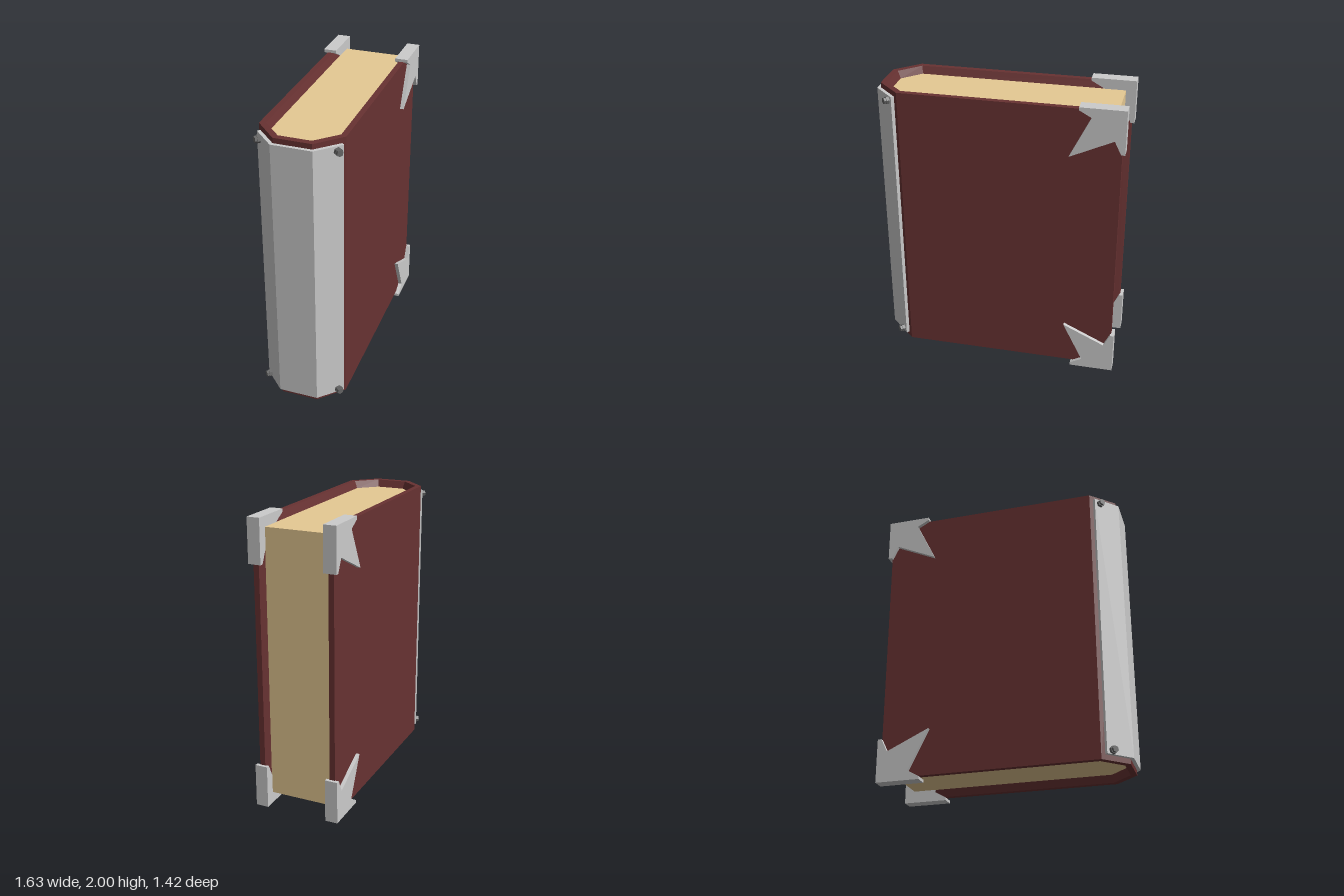
import * as THREE from 'three';

const material = (color) => new THREE.MeshStandardMaterial({ color, flatShading: true });
const grey = material(0xcccccc);
const leather = material(0x683232);
const paper = material(0xe6c993);
const iron = material(0x666666);

function add(parent, name, geometry, mat) {
  const mesh = new THREE.Mesh(geometry, mat);
  mesh.name = name;
  parent.add(mesh);
  return mesh;
}

// Mirror a half outline [x, z] (back side, fore-edge to spine) onto the front side
const mirrored = (half) => [...half, ...half.map(([x, z]) => [x, -z]).reverse()];

// Upright prism from a plan outline [x, z]
function prism(outline, y0, y1) {
  const shape = new THREE.Shape(outline.map(([x, z]) => new THREE.Vector2(x, -z)));
  const geo = new THREE.ExtrudeGeometry(shape, { depth: y1 - y0, bevelEnabled: false });
  return geo.rotateX(-Math.PI / 2).translate(0, y0, 0);
}

// Nested plan outlines: cover outside, inner edge of the rim, page block
const outer = mirrored([[0.76, -0.278], [-0.722, -0.278], [-0.88, -0.124]]);
const rim = mirrored([[0.76, -0.24], [-0.706, -0.24], [-0.84, -0.107]]);
const pages = mirrored([[0.711, -0.219], [-0.699, -0.219], [-0.819, -0.098]]);

// Folded cover: a bevelled rim section swept around the spine
function coverGeometry() {
  const sections = outer.map((o, i) => [
    [o, 0.03], [o, 1.98], [rim[i], 1.98], [pages[i], 1.93], [pages[i], 0.08], [rim[i], 0.03],
  ].map(([[x, z], y]) => [x, y, z]));
  const positions = [];
  const quad = (a, b, c, d) => positions.push(...a, ...b, ...c, ...a, ...c, ...d);
  for (let i = 0; i < sections.length - 1; i++) {
    const p = sections[i], q = sections[i + 1];
    for (const [a, b] of [[0, 1], [1, 2], [2, 3], [4, 5], [5, 0]]) quad(p[a], q[a], q[b], p[b]);
  }
  const first = sections[0], last = sections[sections.length - 1];
  for (const ids of [[0, 1, 2, 5], [5, 2, 3, 4]]) {
    quad(...ids.map((k) => first[k]));
    quad(...ids.map((k) => last[k]).reverse());
  }
  const geo = new THREE.BufferGeometry();
  geo.setAttribute('position', new THREE.Float32BufferAttribute(positions, 3));
  geo.computeVertexNormals();
  return geo;
}

// Pointed corner guard, extruded through the cover; flip puts it at the bottom
function cornerGeometry(flip) {
  const profile = [
    [0.478, 2], [0.478, 1.98], [0.56, 1.935], [0.422, 1.655],
    [0.711, 1.79], [0.755, 1.7], [0.781, 1.7], [0.781, 2],
  ];
  const shape = new THREE.Shape(profile.map(([x, y]) => new THREE.Vector2(x, flip ? 2 - y : y)));
  return new THREE.ExtrudeGeometry(shape, { depth: 0.088, bevelEnabled: false });
}

export function createModel() {
  const model = new THREE.Group();
  model.name = 'book';
  const book = new THREE.Group();
  book.name = 'turnedBook';
  book.rotation.y = THREE.MathUtils.degToRad(36.6);
  model.add(book);

  add(book, 'cover', coverGeometry(), leather);
  add(book, 'pages', prism(pages, 0.08, 1.93), paper);

  // Metal plate folded around the spine
  const plate = [
    ...mirrored([[-0.76, -0.277], [-0.903, -0.134]]),
    ...mirrored([[-0.744, -0.26], [-0.88, -0.124]]).reverse(),
  ];
  add(book, 'spinePlate', prism(plate, 0.065, 1.945), grey);

  for (const side of [1, -1]) {
    for (const top of [true, false]) {
      // Corner guards at the fore-edge
      const corner = add(book, 'cornerGuard', cornerGeometry(!top), grey);
      corner.position.z = side > 0 ? 0.216 : -0.304;

      // Hexagonal bolts on the angled faces of the spine plate
      const bolt = new THREE.Group();
      bolt.name = 'bolt';
      const normal = new THREE.Vector3(-0.7, 0, 0.716 * side).normalize();
      bolt.position.set(-0.772, top ? 1.912 : 0.09, 0.229 * side);
      bolt.quaternion.setFromUnitVectors(new THREE.Vector3(0, 1, 0), normal);
      add(bolt, 'boltCollar', new THREE.CylinderGeometry(0.027, 0.027, 0.03, 6), iron).position.y = 0.03;
      add(bolt, 'boltHead', new THREE.CylinderGeometry(0.022, 0.022, 0.03, 6), iron).position.y = 0.046;
      book.add(bolt);
    }
  }
  return model;
}
